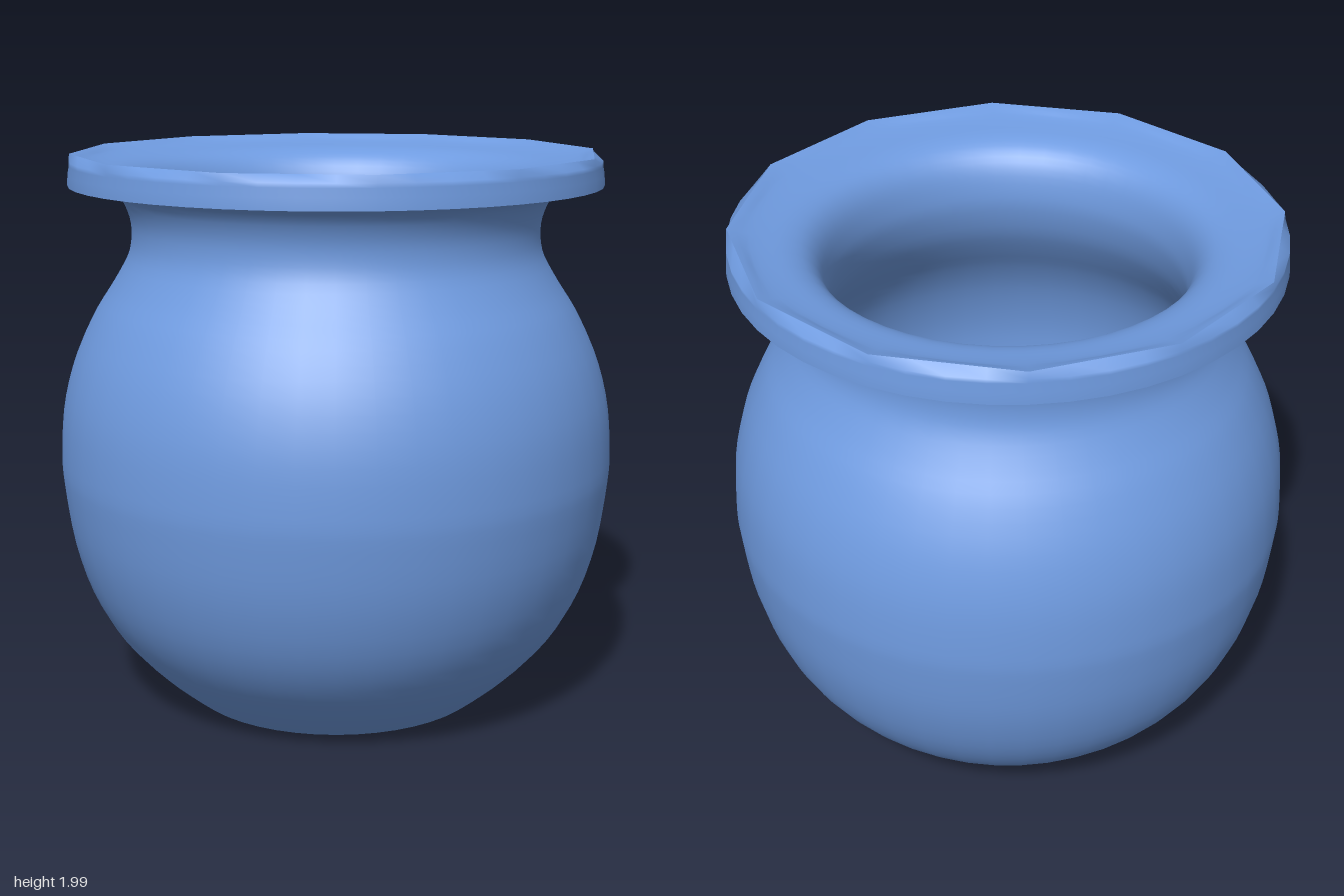
import * as THREE from 'three';
import { mergeVertices } from 'three/addons/utils/BufferGeometryUtils.js';

const SEGMENTS = 48;
const material = new THREE.MeshStandardMaterial({ color: 0x6f9be0, side: THREE.DoubleSide });

// Smooth profile through a few [radius, height] points
function smooth(points, count) {
  return new THREE.SplineCurve(points.map(([r, y]) => new THREE.Vector2(r, y))).getPoints(count);
}

// Radius factor of a twelve-sided outline whose corners touch the circle
function facet(angle) {
  const step = Math.PI / 6;
  const a = ((angle % step) + step) % step - step / 2;
  return Math.cos(step / 2) / Math.cos(a);
}

// Turn a profile; rimWeight(radius, height) says how far a ring is pulled to the facets
function turned(name, profile, rimWeight = () => 0) {
  let geometry = new THREE.LatheGeometry(profile, SEGMENTS);
  const p = geometry.attributes.position;
  for (let i = 0; i < p.count; i++) {
    const x = p.getX(i), y = p.getY(i), z = p.getZ(i);
    const k = 1 + (facet(Math.atan2(x, z)) - 1) * rimWeight(Math.hypot(x, z), y);
    p.setXYZ(i, x * k, y, z * k);
  }
  // Weld the seam so shading runs all the way round
  geometry.deleteAttribute('uv');
  geometry.deleteAttribute('normal');
  geometry = mergeVertices(geometry, 1e-4);
  geometry.computeVertexNormals();
  const mesh = new THREE.Mesh(geometry, material);
  mesh.name = name;
  return mesh;
}

export function createModel() {
  const pot = new THREE.Group();
  pot.name = 'pot';

  // Round belly, narrow neck and flare under the lip
  pot.add(turned('outerWall', smooth([
    [0.55, 0], [0.66, 0.09], [0.8, 0.235], [0.9, 0.4], [0.965, 0.6], [0.995, 0.8],
    [1, 0.92], [0.985, 1.1], [0.94, 1.27], [0.87, 1.42], [0.8, 1.53], [0.745, 1.63],
    [0.73, 1.71], [0.74, 1.78], [0.775, 1.845], [0.84, 1.88],
  ], 48)));

  // Flat underside of the lip
  pot.add(turned('lipUnderside', [new THREE.Vector2(0.84, 1.88), new THREE.Vector2(0.95, 1.88)]));

  // Lip edge, with the top ring cut to twelve soft facets
  const rimWeight = (r, y) => THREE.MathUtils.smoothstep(y, 1.965, 1.985);
  pot.add(turned('lipEdge', [
    [0.95, 1.88], [0.948, 1.92], [0.942, 1.95], [0.943, 1.965], [0.94, 1.99],
  ].map(([r, y]) => new THREE.Vector2(r, y)), rimWeight));

  // Dished lip top, throat and hollow inside down to the floor
  pot.add(turned('innerWall', smooth([
    [0.94, 1.99], [0.89, 1.975], [0.82, 1.96], [0.74, 1.945], [0.68, 1.915], [0.64, 1.86],
    [0.62, 1.78], [0.62, 1.7], [0.65, 1.59], [0.71, 1.48], [0.78, 1.37], [0.84, 1.24],
    [0.88, 1.08], [0.89, 0.92], [0.87, 0.68], [0.8, 0.45], [0.7, 0.29], [0.56, 0.16],
    [0.42, 0.11], [0.2, 0.1], [0, 0.1],
  ], 60), (r, y) => (r > 0.8 ? rimWeight(r, y) : 0)));

  // Flat base
  const base = new THREE.Mesh(new THREE.CircleGeometry(0.55, SEGMENTS), material);
  base.name = 'base';
  base.rotation.x = Math.PI / 2;
  pot.add(base);

  return pot;
}
